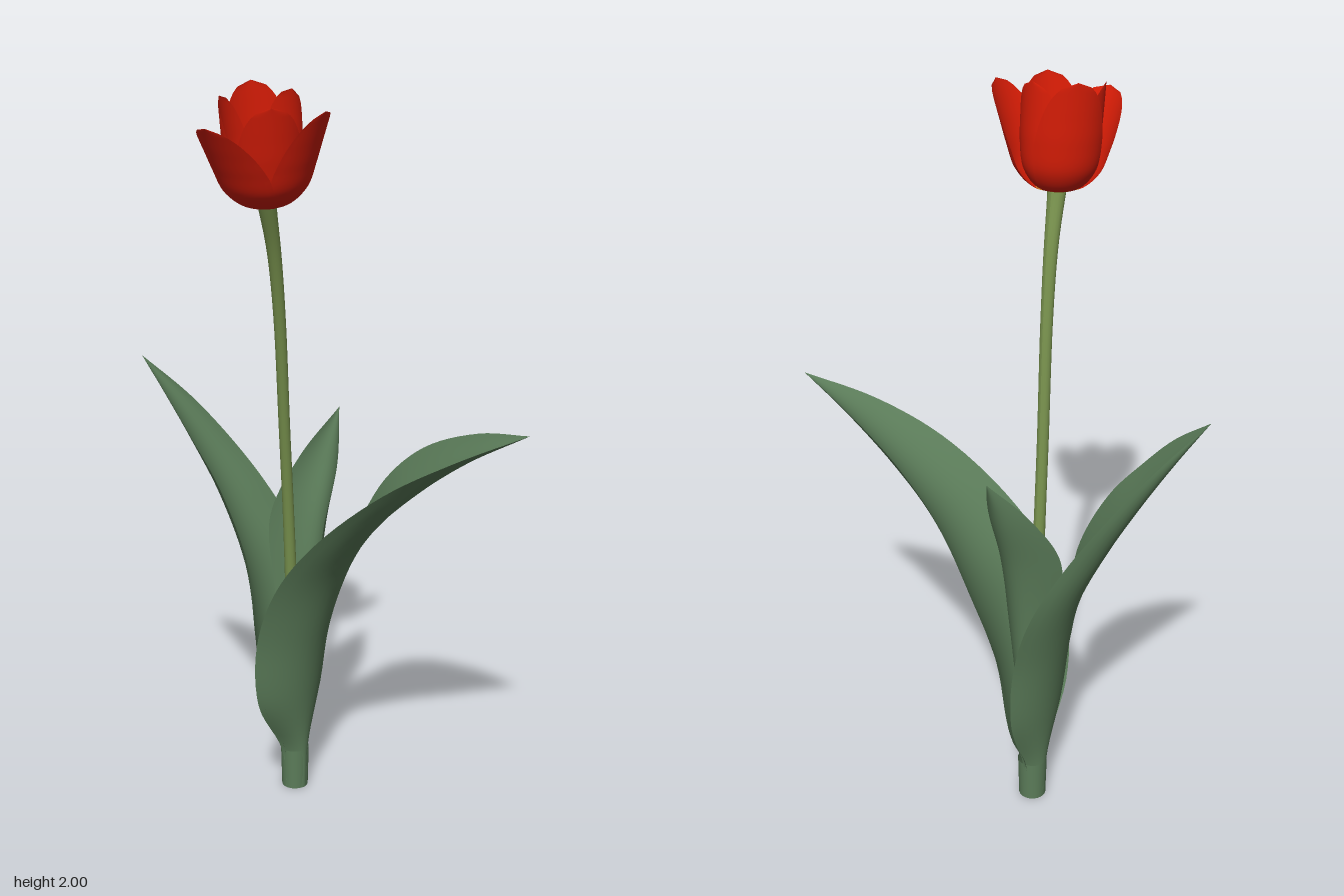
import * as THREE from 'three';

const mat = (name, color, side = THREE.FrontSide) => {
  const m = new THREE.MeshStandardMaterial({ color, side });
  m.name = name;
  return m;
};
const V = (p) => new THREE.Vector3(...p);
const spline = (pts) => new THREE.CatmullRomCurve3(pts.map(V));

// Smooth sheet: fn(u, v) returns a Vector3; rows run from v = 0 upwards
function sheet(nu, nv, fn) {
  const g = new THREE.PlaneGeometry(1, 1, nu, nv);
  const pos = g.attributes.position;
  for (let j = 0, k = 0; j <= nv; j++)
    for (let i = 0; i <= nu; i++, k++) {
      const p = fn(i / nu, j / nv);
      pos.setXYZ(k, p.x, p.y, p.z);
    }
  g.computeVertexNormals();
  return g;
}

// Leaf: parabolic cross-sections through left edge, midrib and right edge
function leafGeometry(left, mid, right) {
  const [l, m, r] = [left, mid, right].map(spline);
  return sheet(14, 48, (u, v) => l.getPoint(v).multiplyScalar((1 - u) * (1 - 2 * u))
    .addScaledVector(m.getPoint(v), 4 * u * (1 - u))
    .addScaledVector(r.getPoint(v), u * (2 * u - 1)));
}

// Petal: cupped sheet with a rounded tip whose centre line leans outwards by flare
function petalGeometry(scale, height, flare, width) {
  const profile = spline([[0.014, 0, 0], [0.06, 0.016, 0], [0.092, 0.06, 0],
    [0.102, 0.13, 0], [0.102, 0.2, 0], [0.1, 0.28, 0]]);
  return sheet(16, 32, (u, v) => {
    const p = profile.getPoint(v);
    const lean = flare * v * v;
    const cup = p.x * scale + lean * 0.25;
    const half = (0.02 + 0.088 * Math.sin(Math.min(v / 0.6, 1) * Math.PI / 2)) * Math.sqrt(1 - Math.pow(v, 4));
    const a = (u * 2 - 1) * half * width / cup;
    return new THREE.Vector3(lean * 0.75 + cup * Math.cos(a), p.y * height / 0.28, cup * Math.sin(a));
  });
}

export function createModel() {
  const root = new THREE.Group();
  const leafGreen = mat('leaf green', 0x5c7d5a, THREE.DoubleSide);
  const stemGreen = mat('stem green', 0x768f4c);
  const red = mat('petal red', 0xd41c06, THREE.DoubleSide);
  const orange = mat('petal base orange', 0xd88028, THREE.DoubleSide);
  const dark = mat('stamen dark', 0x14242a);
  const pale = mat('pistil green', 0x66866a);
  const add = (parent, name, geo, material) => {
    const m = new THREE.Mesh(geo, material);
    m.name = name;
    parent.add(m);
    return m;
  };

  // Stem, thick at the foot and widening slightly below the flower
  const stem = spline([[0.105, 0.01, -0.13], [0.1, 0.4, -0.13], [0.08, 0.8, -0.127],
    [0.045, 1.1, -0.113], [0.0, 1.4, -0.09], [-0.042, 1.58, -0.072], [-0.09, 1.715, -0.055]]);
  add(root, 'stem', sheet(16, 48, (u, v) => {
    const a = u * Math.PI * 2;
    const r = 0.015 + 0.009 * Math.pow(v, 6) + 0.018 * Math.pow(1 - v, 8);
    return stem.getPoint(v).add(new THREE.Vector3(r * Math.cos(a), 0, r * Math.sin(a)));
  }), stemGreen);
  const foot = add(root, 'stemFoot', new THREE.CircleGeometry(0.033, 16), stemGreen);
  foot.position.set(0.105, 0.01, -0.13);
  foot.rotation.x = Math.PI / 2;

  // Sheath where the leaves wrap the stem
  add(root, 'leafSheath', new THREE.CylinderGeometry(0.04, 0.037, 0.12, 24, 1, true), leafGreen)
    .position.set(0.107, 0.06, -0.13);

  // Front leaf
  const frontTip = [0.207, 1.16, 0.54];
  add(root, 'frontLeaf', leafGeometry(
    [[0.07, 0, -0.13], [0.062, 0.12, -0.14], [-0.04, 0.3, -0.14], [-0.068, 0.5, -0.12],
      [-0.068, 0.68, -0.05], [-0.04, 0.83, 0.06], [0.02, 0.985, 0.23], [0.1, 1.085, 0.39], frontTip],
    [[0.105, 0, -0.092], [0.105, 0.12, -0.088], [0.105, 0.3, -0.07], [0.108, 0.5, -0.035],
      [0.115, 0.69, 0.03], [0.13, 0.84, 0.13], [0.16, 0.965, 0.25], [0.185, 1.075, 0.39], frontTip],
    [[0.14, 0, -0.13], [0.15, 0.12, -0.14], [0.25, 0.3, -0.16], [0.282, 0.52, -0.155],
      [0.29, 0.74, -0.06], [0.29, 0.915, 0.04], [0.283, 1.035, 0.17], [0.252, 1.12, 0.36], frontTip],
  ), leafGreen);

  // Back leaf
  const backTip = [-0.045, 1.24, -0.54];
  add(root, 'backLeaf', leafGeometry(
    [[0.07, 0.02, -0.13], [0.065, 0.12, -0.13], [-0.03, 0.3, -0.13], [-0.06, 0.5, -0.13],
      [-0.065, 0.72, -0.15], [-0.07, 0.92, -0.24], [-0.073, 1.05, -0.34], [-0.068, 1.15, -0.43], backTip],
    [[0.105, 0.02, -0.168], [0.105, 0.12, -0.17], [0.1, 0.3, -0.188], [0.095, 0.5, -0.215],
      [0.085, 0.68, -0.258], [0.065, 0.85, -0.33], [0.035, 1, -0.405], [-0.005, 1.13, -0.475], backTip],
    [[0.14, 0.02, -0.13], [0.15, 0.12, -0.13], [0.22, 0.3, -0.14], [0.24, 0.5, -0.16],
      [0.24, 0.68, -0.21], [0.19, 0.84, -0.28], [0.13, 0.98, -0.36], [0.05, 1.12, -0.45], backTip],
  ), leafGreen);

  // Small inner leaf on the left side
  const sideTip = [0.3, 1.09, -0.125];
  add(root, 'sideLeaf', leafGeometry(
    [[0.115, 0.05, -0.1], [0.12, 0.3, -0.09], [0.11, 0.6, -0.05], [0.115, 0.8, -0.036],
      [0.2, 0.96, -0.055], sideTip],
    [[0.138, 0.05, -0.13], [0.15, 0.3, -0.13], [0.175, 0.6, -0.13], [0.21, 0.8, -0.13],
      [0.26, 0.96, -0.128], sideTip],
    [[0.115, 0.05, -0.16], [0.12, 0.3, -0.17], [0.11, 0.6, -0.205], [0.115, 0.8, -0.222],
      [0.2, 0.96, -0.185], sideTip],
  ), leafGreen);

  // Flower head, tilted along the stem
  const flower = new THREE.Group();
  flower.name = 'flower';
  flower.position.set(-0.09, 1.705, -0.055);
  flower.quaternion.setFromUnitVectors(new THREE.Vector3(0, 1, 0), V([-0.1, 1, 0.04]).normalize());
  root.add(flower);

  // Petals: angle from +x towards +z, radius scale, height, flare, width
  const petals = [
    [185, 1, 0.23, 0.092, 1.1], [84, 1, 0.252, 0.078, 1], [-52, 1, 0.285, 0.028, 0.97],
    [130, 0.92, 0.268, 0.03, 0.97], [12, 0.92, 0.275, 0, 0.92], [-115, 0.92, 0.27, 0.015, 0.92],
  ];
  petals.forEach(([angle, scale, height, flare, width], i) => {
    const g = petalGeometry(scale, height, flare, width);
    const split = 16 * 6 * 5;
    g.addGroup(0, split, 0);
    g.addGroup(split, g.index.count - split, 1);
    add(flower, (i < 3 ? 'outerPetal' : 'innerPetal') + (i % 3 + 1), g, [orange, red])
      .rotation.y = -THREE.MathUtils.degToRad(angle);
  });

  // Pistil with three-lobed stigma
  add(flower, 'pistil', new THREE.CylinderGeometry(0.01, 0.014, 0.1, 12), pale).position.y = 0.055;
  for (let i = 0; i < 3; i++) {
    const a = i * Math.PI * 2 / 3;
    const lobe = add(flower, 'stigmaLobe', new THREE.SphereGeometry(0.01, 10, 8), pale);
    lobe.position.set(0.01 * Math.cos(a), 0.106, 0.01 * Math.sin(a));
  }

  // Six stamens: thin filament and long anther
  for (let i = 0; i < 6; i++) {
    const stamen = new THREE.Group();
    stamen.name = 'stamen';
    stamen.rotation.y = i * Math.PI / 3 + 0.3;
    flower.add(stamen);
    const path = spline([[0.014, 0.01, 0], [0.028, 0.04, 0], [0.036, 0.08, 0]]);
    add(stamen, 'filament', new THREE.TubeGeometry(path, 6, 0.003, 6), dark);
    const anther = add(stamen, 'anther', new THREE.CapsuleGeometry(0.006, 0.03, 4, 8), dark);
    anther.position.set(0.042, 0.097, 0);
    anther.rotation.z = -0.4;
  }
  return root;
}
